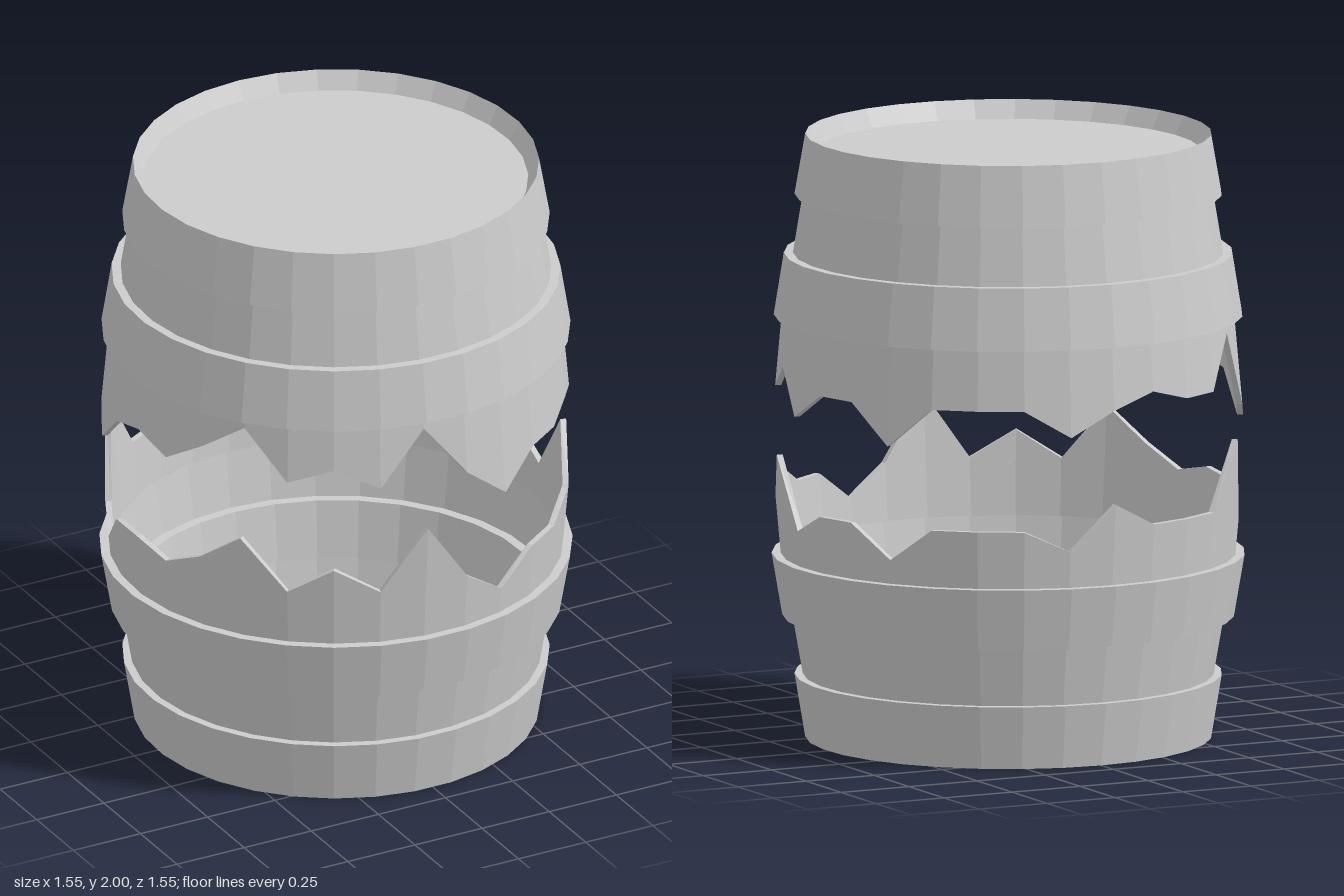
import * as THREE from 'three';

const SIDES = 31;
const WALL = 0.02;

// Height of the torn edge at every stave joint, going round from the front
// centre towards +x, each measured from the half's own flat end.
const LOWER_TEAR = [
  0.80, 0.70, 0.80, 0.80, 0.865, 0.80, 0.96, 0.73, 0.80, 0.80, 0.69, 0.80, 0.80, 0.80, 0.73, 0.88,
  0.80, 0.80, 0.80, 1.02, 0.73, 0.68, 0.82, 0.83, 0.80, 0.87, 0.98, 0.80, 0.89, 0.80, 1.02,
];
const UPPER_TEAR = [
  1.18, 1.06, 1.165, 1.165, 1.20, 1.165, 1.25, 1.11, 1.20, 1.20, 1.07, 1.20, 1.20, 1.20, 1.11, 1.19,
  1.24, 1.20, 1.20, 1.37, 1.11, 1.05, 1.18, 1.22, 1.18, 1.27, 1.37, 1.20, 1.25, 1.18, 1.37,
].map((y) => 2 - y);

// Stepped outer profile [radius, height]: end hoop, staves, middle hoop, staves
const LOWER_STEPS = [
  [0.665, 0], [0.70, 0.21], [0.673, 0.21], [0.707, 0.405],
  [0.74, 0.405], [0.775, 0.61], [0.745, 0.61],
];
const UPPER_STEPS = [
  [0.665, 0], [0.70, 0.2], [0.673, 0.2], [0.705, 0.395],
  [0.735, 0.395], [0.768, 0.6], [0.742, 0.6],
];

// One closed half shell: recessed end, stepped outside, torn rim, stepped inside
function halfBarrel(steps, tear, flip) {
  const [tearR, tearY] = steps[steps.length - 1];
  const fixed = ([r, y]) => () => [r, y];
  const torn = (inset) => (j) => [tearR + 0.09 * (tear[j] - tearY) - inset, tear[j]];
  const inner = steps.slice(1).reverse().map(([r, y]) => [r - WALL, y]);
  const rows = [
    ...[[0, 0.06], [0.63, 0.06], ...steps].map(fixed),
    torn(0), torn(WALL),
    ...[...inner, [0.652, 0.08], [0, 0.08]].map(fixed),
  ];

  const point = (i, j) => {
    const k = j % SIDES;
    const a = ((k + 0.5) / SIDES) * Math.PI * 2;
    const [r, y] = rows[i](k);
    return [r * Math.sin(a), flip ? 2 - y : y, r * Math.cos(a)];
  };
  const positions = [];
  const triangle = (a, b, c) => positions.push(...a, ...(flip ? c : b), ...(flip ? b : c));
  for (let i = 0; i < rows.length - 1; i++) {
    for (let j = 0; j < SIDES; j++) {
      const a = point(i, j), b = point(i, j + 1);
      const c = point(i + 1, j + 1), d = point(i + 1, j);
      if (i > 0) triangle(a, b, c);
      if (i < rows.length - 2) triangle(a, c, d);
      else if (i === 0) triangle(a, c, d);
    }
  }
  const geometry = new THREE.BufferGeometry();
  geometry.setAttribute('position', new THREE.Float32BufferAttribute(positions, 3));
  geometry.computeVertexNormals();
  return geometry;
}

export function createModel() {
  const group = new THREE.Group();
  group.name = 'brokenBarrel';
  const material = new THREE.MeshStandardMaterial({ color: 0xcccccc, flatShading: true });
  const add = (name, geometry) => {
    const mesh = new THREE.Mesh(geometry, material);
    mesh.name = name;
    group.add(mesh);
  };
  add('lowerHalf', halfBarrel(LOWER_STEPS, LOWER_TEAR, false));
  add('upperHalf', halfBarrel(UPPER_STEPS, UPPER_TEAR, true));
  return group;
}
